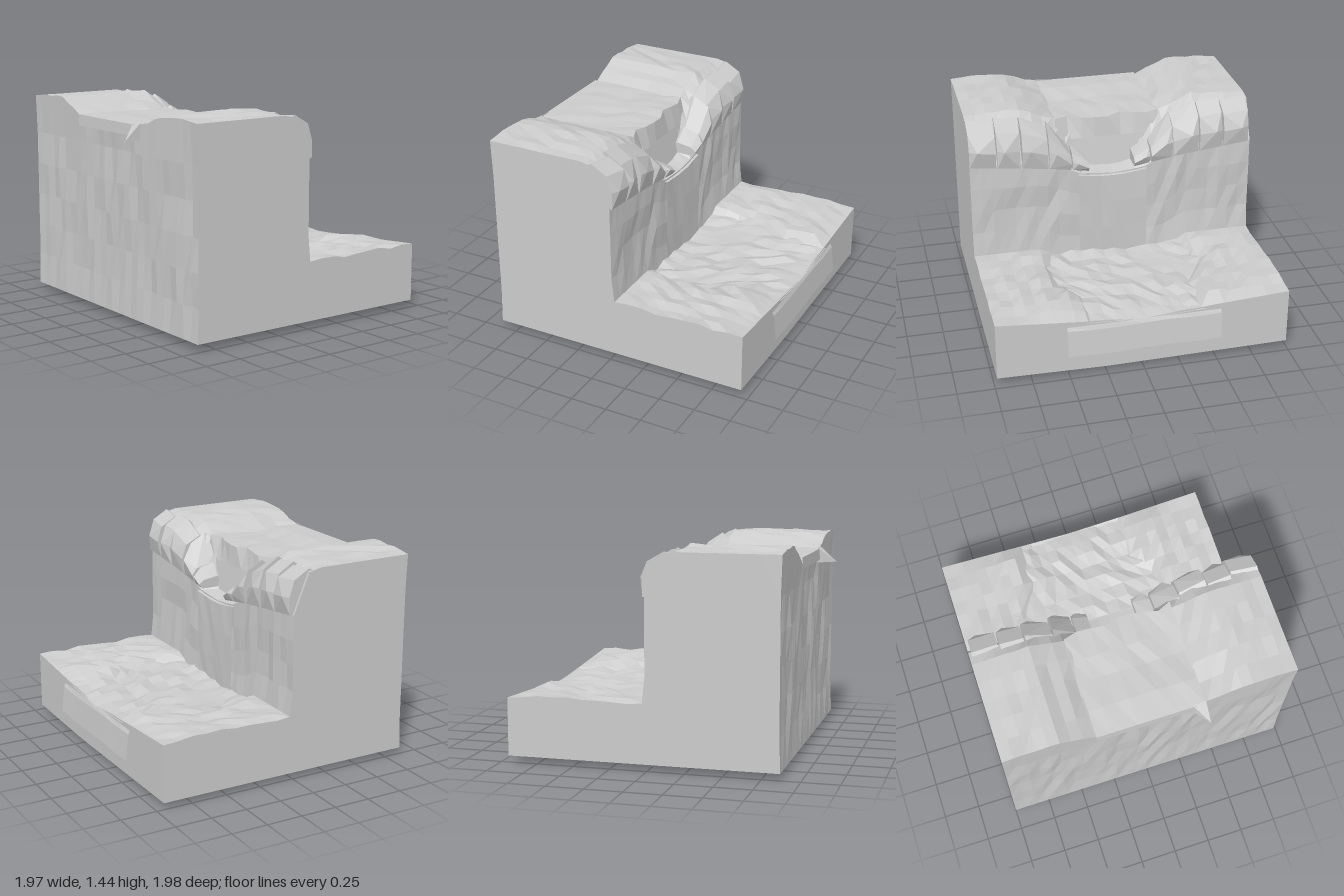
import * as THREE from 'three';
import { ConvexGeometry } from 'three/addons/geometries/ConvexGeometry.js';

const material = new THREE.MeshStandardMaterial({ color: 0xcccccc, flatShading: true });
const sheetMaterial = new THREE.MeshStandardMaterial({ color: 0xcccccc, flatShading: true, side: THREE.DoubleSide });
const { lerp, smoothstep } = THREE.MathUtils;

// repeatable noise in -1..1
function noise(a, b) {
  const s = Math.sin(a * 127.1 + b * 311.7) * 43758.5453;
  return 2 * (s - Math.floor(s)) - 1;
}

// piecewise linear curve through [t, value] pairs
function along(points, t) {
  for (let i = 1; i < points.length; i++) {
    if (t <= points[i][0]) {
      const [t0, v0] = points[i - 1], [t1, v1] = points[i];
      return lerp(v0, v1, Math.max(0, (t - t0) / (t1 - t0)));
    }
  }
  return points[points.length - 1][1];
}

function trianglesToGeometry(triangles) {
  const geometry = new THREE.BufferGeometry().setFromPoints(triangles);
  geometry.computeVertexNormals();
  return geometry;
}

// open faceted sheet from a rule of (u, v)
function sheet(nu, nv, rule) {
  const tris = [];
  const p = (i, j) => new THREE.Vector3(...rule(i / nu, j / nv, i, j));
  for (let i = 0; i < nu; i++) for (let j = 0; j < nv; j++) {
    const a = p(i, j), b = p(i + 1, j), c = p(i + 1, j + 1), d = p(i, j + 1);
    tris.push(a, d, b, b, d, c);
  }
  return trianglesToGeometry(tris);
}

// plateau height along z, with the river bed in the middle
const plateau = (x, z) => along([[-1, 1.42], [-0.63, 1.44], [-0.4, 1.35], [-0.34, 1.31],
  [0.32, 1.31], [0.38, 1.35], [0.63, 1.44], [0.98, 1.42]], z);

// half width of the pool and ground height around it
const poolHalf = (x) => along([[0, 0.46], [0.2, 0.54], [0.42, 0.53], [0.64, 0.4], [0.95, 0.4]], x);
const ground = (x, z) => lerp(0.35, 0.45, smoothstep(Math.abs(z + 0.02), poolHalf(x) - 0.1, poolHalf(x) + 0.06));

// outline of the terrain at one z, counter-clockwise
function section(z, k) {
  const points = [];
  const az = Math.abs(z), inner = Math.abs(z) < 0.95 ? 1 : 0;
  const add = (x, y) => points.push(new THREE.Vector2(x, y));
  // underside, sagging to one low point
  const sag = along([[-1, 0], [0.25, 1], [0.98, 0]], z);
  add(-0.87, 0.05);
  add(-0.3, 0.05);
  add(0.23, 0.05 - 0.045 * sag);
  add(0.95, 0.05 - 0.015 * sag);
  // low ground, from the outer edge to the cliff foot
  add(0.95, along([[-1, 0.44], [-0.5, 0.41], [0, 0.37], [0.5, 0.41], [0.98, 0.45]], z));
  for (let i = 1; i < 9; i++) {
    const x = 0.95 - i * 0.103;
    add(x, ground(x, z) + 0.016 * noise(i, k));
  }
  // cliff face
  const lip = along([[0, 0.98], [0.23, 1.0], [0.42, 1.1], [1, 1.13]], az);
  const foot = ground(0.02, z);
  add(0.03, foot);
  for (let i = 1; i < 4; i++) add(0.012 + 0.012 * inner * noise(i + 20, k), lerp(foot, lip, i / 4));
  add(0.01, lip);
  // ledge and funnel up to the plateau
  add(-0.1, along([[0, 1.0], [0.15, 1.01], [0.36, 1.25], [0.5, 1.36], [1, 1.4]], az));
  // plateau
  for (let i = 0; i < 6; i++) {
    const x = lerp(-0.19, -0.87, i / 5);
    add(x, plateau(x, z) + 0.012 * noise(i + 40, k) * inner);
  }
  // rear wall
  for (let i = 1; i < 6; i++) add(-0.862 + 0.012 * inner * noise(i + 60, k), lerp(1.38, 0.05, i / 6));
  return points;
}

function terrainGeometry() {
  const zs = [-1];
  for (let i = 1; i <= 26; i++) zs.push(-1 + i * 1.98 / 26);
  const outlines = zs.map(section);
  const at = (k, i) => {
    const p = outlines[k][i % outlines[k].length];
    return new THREE.Vector3(p.x, p.y, zs[k]);
  };
  const tris = [];
  for (let k = 0; k < zs.length - 1; k++) for (let i = 0; i < outlines[0].length; i++) {
    const a = at(k, i), b = at(k, i + 1), c = at(k + 1, i + 1), d = at(k + 1, i);
    tris.push(a, b, d, b, c, d);
  }
  // end faces
  const last = zs.length - 1;
  for (const [a, b, c] of THREE.ShapeUtils.triangulateShape(outlines[0], [])) tris.push(at(0, c), at(0, b), at(0, a));
  for (const [a, b, c] of THREE.ShapeUtils.triangulateShape(outlines[last], [])) tris.push(at(last, a), at(last, b), at(last, c));
  return trianglesToGeometry(tris);
}

// angular rim stone between two z values, smaller towards the fall
function rimStone(z0, z1, top0, top1, bottom0, bottom1, seed) {
  const points = [];
  [[z0, top0, bottom0, 0], [z1, top1, bottom1, 1]].forEach(([z, t, b, end]) => {
    const n = 0.025 * noise(seed, end), h = t - b;
    points.push([-0.2 + 2 * n, t - 0.05], [-0.11 + n, t], [0.0 + n, t - 0.22 * h],
      [0.035 + n, b + 0.4 * h], [0.03, b], [-0.12, b]);
    points.splice(-6, 6, ...points.slice(-6).map(([x, y]) => new THREE.Vector3(x, y, z)));
  });
  // sharp outward nose
  points.push(new THREE.Vector3(0.06, lerp(bottom0, top0, 0.4), lerp(z0, z1, 0.3)));
  return new ConvexGeometry(points);
}

export function createModel() {
  const model = new THREE.Group();
  const add = (name, geometry, mat = material, parent = model) => {
    const mesh = new THREE.Mesh(geometry, mat);
    mesh.name = name;
    parent.add(mesh);
    return mesh;
  };

  add('terrain', terrainGeometry());

  // stones along the cliff rim on both sides of the fall
  const rim = new THREE.Group();
  rim.name = 'rimStones';
  model.add(rim);
  const top = [[0.2, 1.12], [0.3, 1.2], [0.4, 1.34], [0.63, 1.42], [0.98, 1.42]];
  const bottom = [[0.15, 1.02], [0.45, 1.07], [0.98, 1.13]];
  const joints = [0.15, 0.27, 0.43, 0.62, 0.79, 0.98];
  for (const side of [-1, 1]) for (let i = 0; i < joints.length - 1; i++) {
    const a = joints[i] + 0.012, b = joints[i + 1];
    add('rimStone', rimStone(side * b, side * a, along(top, b), along(top, a) - 0.02,
      along(bottom, b), along(bottom, a), i + side * 9), material, rim);
  }

  // upper river, bent down over the rear edge and the front funnel
  const river = [[-0.885, 1.27], [-0.88, 1.345], [-0.7, 1.35], [-0.5, 1.34], [-0.35, 1.345], [-0.17, 1.345], [-0.13, 1.2], [-0.09, 0.99]];
  add('upperRiver', sheet(7, 8, (u, v, i, j) => {
    const [x, y] = river[i];
    const wave = i > 1 && i < 6 ? 0.008 * noise(i, j + 80) : 0;
    return [x + (i === 5 ? 0.025 * noise(j, 7) : 0), y + wave, lerp(-0.38, 0.36, v)];
  }), sheetMaterial);

  // splinter of water beyond the rear edge
  add('riverSplinter', new ConvexGeometry([[-0.99, 1.25, 0.36], [-0.87, 1.25, 0.36], [-0.87, 1.36, 0.36], [-0.87, 1.25, 0.26], [-0.87, 1.35, 0.27]]
    .map((p) => new THREE.Vector3(...p))));

  // falling water with a sagging lip
  add('waterfall', sheet(4, 6, (u, v, i, j) => {
    const z = lerp(-0.25, 0.23, v);
    if (i === 0) return [-0.1, 0.995, z];
    const y = along([[0.25, 0.97 + 0.4 * z * z], [1, 0.36]], u);
    return [0.03 + 0.006 * noise(i, j), y, z];
  }), sheetMaterial);

  // rippled pool
  add('pool', sheet(9, 12, (u, v, i, j) => {
    const x = lerp(0.03, 0.955, u);
    const edge = Math.abs(2 * v - 1);
    const y = 0.385 + 0.02 * edge + 0.018 * noise(i + 5, j + 30) * (u < 1 ? 1 : 0);
    return [x, u < 1 ? y : 0.37 + 0.02 * edge, -0.02 + (2 * v - 1) * poolHalf(x)];
  }), sheetMaterial);

  // water spilling over the outer edge
  add('poolSpill', sheet(3, 6, (u, v, i, j) => {
    const y = along([[0, 0.37], [0.33, 0.345], [1, 0.165]], u);
    return [[0.95, 0.962, 0.972, 0.982][i], y + (i ? 0.008 * noise(j, 3) : 0), lerp(-0.53, 0.51, v)];
  }), sheetMaterial);

  return model;
}
